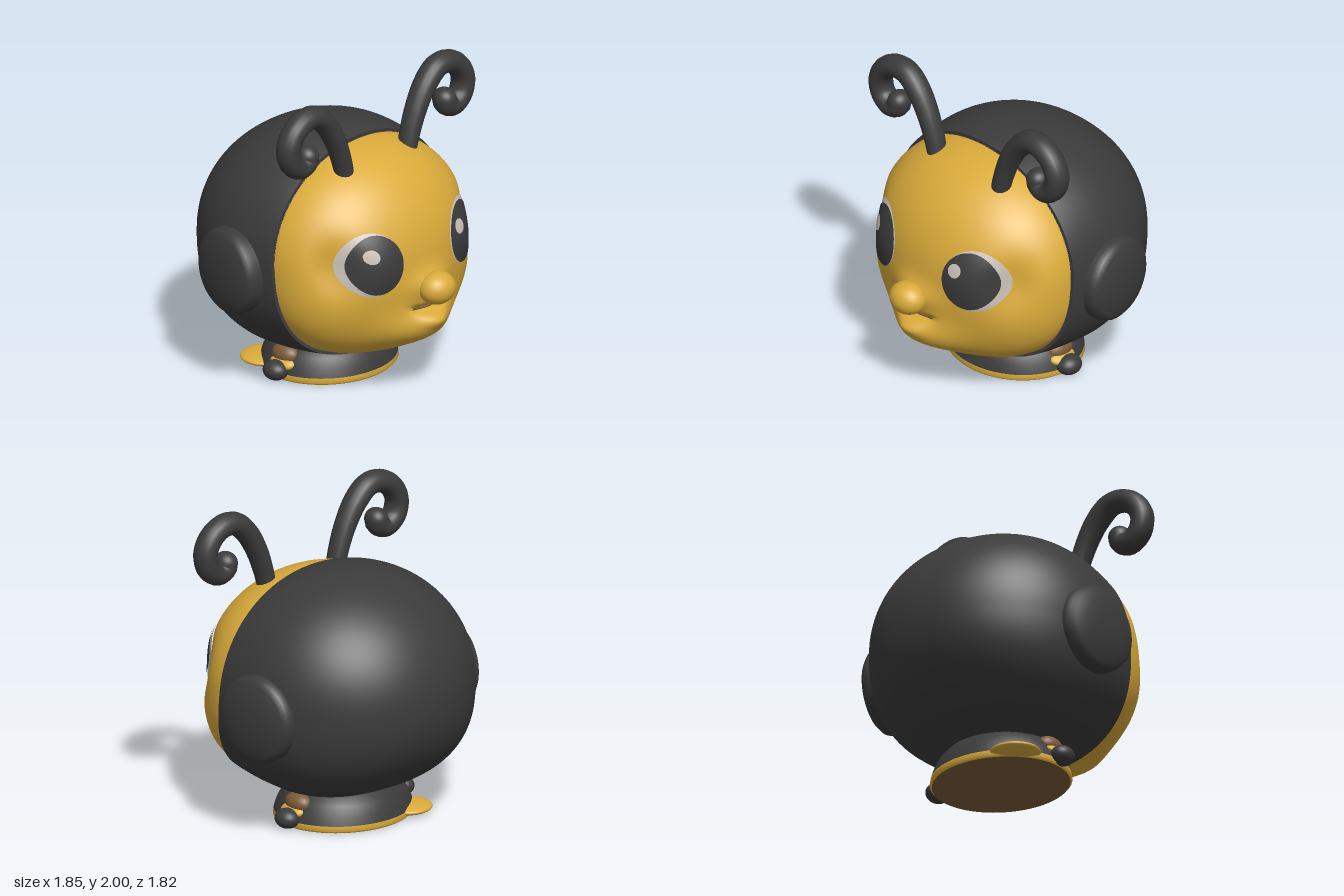
import * as THREE from 'three';
import { mergeVertices } from 'three/addons/utils/BufferGeometryUtils.js';

const paint = (name, color, side = THREE.FrontSide) => {
  const m = new THREE.MeshStandardMaterial({ color, side });
  m.name = name;
  return m;
};

// Smooth surface from a rule: u runs outward from a pole, a runs round it
function grid(nu, nv, rule, flip = false) {
  const pos = [], idx = [];
  for (let i = 0; i <= nu; i++)
    for (let j = 0; j <= nv; j++) pos.push(...rule(i / nu, (j % nv) / nv * Math.PI * 2));
  for (let i = 0; i < nu; i++)
    for (let j = 0; j < nv; j++) {
      const a = i * (nv + 1) + j, b = a + 1, c = a + nv + 1, d = c + 1;
      if (flip) idx.push(a, c, b, b, c, d);
      else idx.push(a, b, c, b, d, c);
    }
  let g = new THREE.BufferGeometry();
  g.setAttribute('position', new THREE.Float32BufferAttribute(pos, 3));
  g.setIndex(idx);
  g = mergeVertices(g);
  g.computeVertexNormals();
  return g;
}

// Head cross-section: rounded oval, fuller in the lower half
const CY = 0.87, TOP = 0.75, BOTTOM = 0.7, WIDE = 0.815, FY = 0.91, FZ = 0.95;
function section(a, sy, sz) {
  const c = Math.cos(a), s = Math.sin(a), e = 2 / (s > 0 ? 2.1 : 2.5);
  const z = Math.sign(c) * Math.pow(Math.abs(c), e) * WIDE * sz;
  const y = CY + Math.sign(s) * Math.pow(Math.abs(s), e) * (s > 0 ? TOP : BOTTOM) * sy;
  return [y, z];
}
// Hood opening sweeps forward towards the chin
const rimX = y => 0.13 + 0.17 * Math.pow(Math.max(0, (1.56 - y) / 1.36), 3);
const bump = (d, w) => Math.exp(-Math.pow(d / w, 2));

// Front surface of the face with muzzle, lip, nose flare, mouth groove and sockets
function faceX(y, z) {
  const up = y > CY, n = up ? 2.1 : 2.5;
  const Y = Math.abs(y - CY) / ((up ? TOP : BOTTOM) * FY), Z = Math.abs(z) / (WIDE * FZ);
  const r = Math.min(1, Math.pow(Math.pow(Y, n) + Math.pow(Z, n), 1 / n));
  const depth = Math.sqrt(Math.max(0, 1 - r * r)), s = rimX(y);
  const detail = 0.18 * bump(y - 0.44, 0.17) * bump(z, 0.3)
    + 0.045 * bump(y - 0.53, 0.05) * bump(z, 0.11)
    + 0.07 * bump(y - 0.75, 0.1) * bump(z, 0.16)
    - 0.05 * bump(y - 0.6 - 0.8 * z * z, 0.025) * bump(z * z, 0.02)
    - 0.07 * bump(y - 0.95, 0.17) * bump(Math.abs(z) - 0.6, 0.11);
  return s + (0.74 - s) * depth + detail * Math.min(1, depth * 2.5);
}

export function createModel() {
  const black = paint('charcoal', 0x3b3b3b);
  const yellow = paint('honey yellow', 0xdaab3a);
  const white = paint('eye white', 0xc9c0b8);
  const brown = paint('brown', 0x7c5b38, THREE.DoubleSide);
  const root = new THREE.Group();
  const add = (name, geo, mat, p = [0, 0, 0], s = [1, 1, 1], r = [0, 0, 0]) => {
    const m = new THREE.Mesh(geo, mat);
    m.name = name;
    m.position.set(...p);
    m.scale.set(...s);
    m.rotation.set(...r);
    root.add(m);
  };
  const ball = new THREE.SphereGeometry(1, 32, 20);

  // Hood: round back, then a short wall to the opening
  add('hood', grid(64, 96, (u, a) => {
    if (u < 0.7) {
      const t = u / 0.7 * Math.PI / 2, [y, z] = section(a, Math.sin(t), Math.sin(t));
      return [-0.13 - 0.8 * Math.cos(t), y, z];
    }
    const k = (u - 0.7) / 0.3, [y, z] = section(a, 1 - 0.06 * k * k, 1 - 0.02 * k * k);
    return [-0.13 + (rimX(y) + 0.13) * k, y, z];
  }, true), black);
  const ring = (name, mat, outer, inner, dx) => add(name, grid(2, 96, (u, a) => {
    const [y, z] = section(a, inner[0] + (outer[0] - inner[0]) * u, inner[1] + (outer[1] - inner[1]) * u);
    return [rimX(y) + dx, y, z];
  }), mat);
  ring('hoodLip', black, [0.94, 0.98], [0.912, 0.952], 0);
  ring('hoodLining', brown, [0.915, 0.955], [0.905, 0.945], 0.003);

  // Face
  add('face', grid(90, 140, (u, a) => {
    const r = Math.sin(u * Math.PI / 2), [y, z] = section(a, FY * r, FZ * r);
    return [faceX(y, z), y, z];
  }), yellow);
  add('nose', ball, yellow, [0.81, 0.745, 0], [0.11, 0.105, 0.125]);
  const smile = [];
  for (let i = -5; i <= 5; i++) {
    const z = i * 0.028, y = 0.6 + 0.8 * z * z;
    smile.push(new THREE.Vector3(faceX(y, z), y, z));
  }
  add('mouth', new THREE.TubeGeometry(new THREE.CatmullRomCurve3(smile), 30, 0.01, 8), brown);

  // Eyes: layered patches that follow the face
  for (const side of [1, -1]) {
    const patch = (name, mat, cy, cz, ry, rz, lift) => add(name, grid(14, 40, (u, a) => {
      const y = cy + ry * u * Math.sin(a), z = cz + rz * u * Math.cos(a);
      const d = Math.pow((y - 0.965) / 0.205, 2) + Math.pow((Math.abs(z) - 0.4) / 0.185, 2);
      return [faceX(y, z) + 0.01 + 0.025 * Math.max(0, 1 - d) + lift, y, z];
    }), mat);
    patch('eyeWhite', white, 0.965, side * 0.4, 0.205, 0.185, 0);
    patch('iris', black, 0.965, side * 0.382, 0.192, 0.164, 0.007);
    patch('eyeHighlight', white, 1.035, side > 0 ? 0.43 : -0.31, 0.045, 0.045, 0.014);
  }

  // Antennae: curled tubes, thinner at the root
  const curl = [[0.28, 1.43], [0.315, 1.56], [0.37, 1.7], [0.45, 1.83], [0.55, 1.915], [0.65, 1.92],
    [0.745, 1.865], [0.793, 1.77], [0.77, 1.67], [0.695, 1.617], [0.635, 1.64], [0.625, 1.675]];
  for (const side of [1, -1]) {
    const curve = new THREE.CatmullRomCurve3(curl.map(([z, y]) => new THREE.Vector3(0, y, z * side)));
    const geo = new THREE.TubeGeometry(curve, 80, 0.073, 18), p = geo.attributes.position;
    const v = new THREE.Vector3();
    for (let i = 0; i < p.count; i++) {
      const t = Math.floor(i / 19) / 80, c = curve.getPointAt(t);
      v.fromBufferAttribute(p, i).sub(c).multiplyScalar(0.8 + 0.2 * Math.min(1, t * 2.5)).add(c);
      p.setXYZ(i, v.x, v.y, v.z);
    }
    add('antenna', geo, black, [0.287, 0, 0], [1.1, 1, 1]);
    add('antennaTip', ball, black, [0.287, 1.675, 0.625 * side], [0.08, 0.073, 0.073]);
  }

  // Rounded ear pads on the hood
  const lathe = pts => new THREE.LatheGeometry(pts.map(([x, y]) => new THREE.Vector2(x, y)), 56);
  const padGeo = lathe([[0.28, -0.16], [0.282, -0.02], [0.27, 0.02], [0.24, 0.045],
    [0.16, 0.068], [0.08, 0.078], [0, 0.08]]);
  for (const side of [1, -1]) {
    const pivot = new THREE.Group();
    pivot.name = 'earPad';
    pivot.position.set(-0.21, 0.815, side * 0.815);
    pivot.rotation.y = -0.17 * side;
    const m = new THREE.Mesh(padGeo, black);
    m.name = 'earPadDisc';
    m.rotation.x = side * Math.PI / 2;
    pivot.add(m);
    root.add(pivot);
  }

  // Squat body: brown sole, yellow stripe, dark upper part
  const at = [-0.11, 0, 0], size = [0.41, 1, 0.46];
  add('sole', lathe([[0, 0.001], [0.97, 0.001]]), brown, at, size);
  add('bodyStripe', lathe([[0.97, 0], [1, 0.015], [0.99, 0.045]]), yellow, at, size);
  add('bodyUpper', lathe([[0.99, 0.045], [0.95, 0.1], [0.88, 0.16], [0.77, 0.21], [0.6, 0.25]]), black, at, size);

  // Arms resting at the sides
  for (const side of [1, -1]) {
    add('upperArm', ball, brown, [-0.12, 0.15, side * 0.38], [0.1, 0.065, 0.07], [side * 0.5, 0, 0]);
    add('armCuff', ball, yellow, [-0.11, 0.105, side * 0.42], [0.095, 0.035, 0.06], [side * 0.5, 0, 0]);
    add('hand', ball, black, [-0.12, 0.066, side * 0.475], [0.085, 0.064, 0.075]);
  }
  // Flat yellow tail at the rear
  add('tail', ball, yellow, [-0.38, 0.037, 0.3], [0.15, 0.035, 0.16], [0, 0.5, 0]);

  return root;
}
